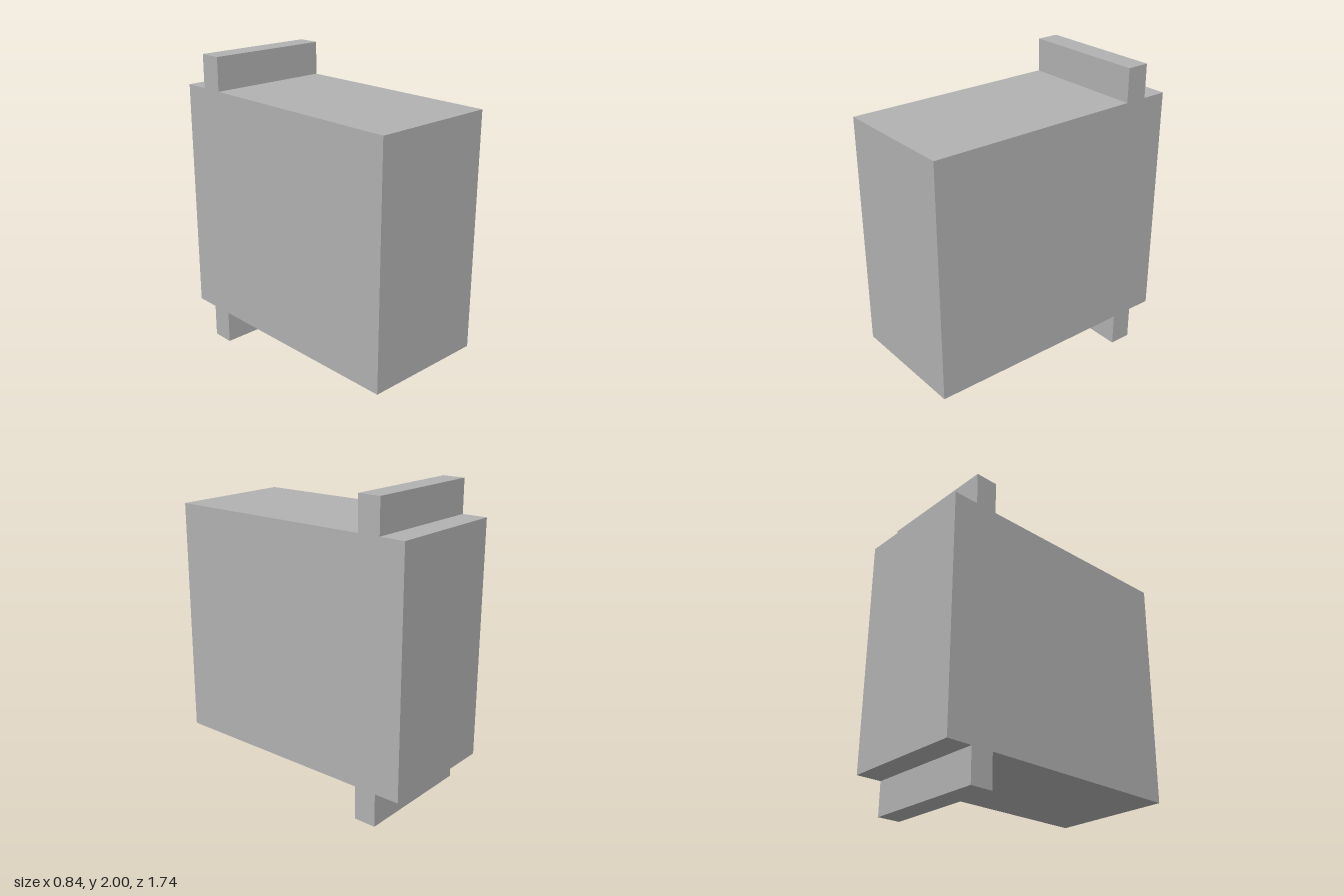
import * as THREE from 'three';

export function createModel() {
  const group = new THREE.Group();
  const grey = new THREE.MeshStandardMaterial({ color: 0xb2b2b2 });
  grey.name = 'light grey';

  const width = 0.84, depth = 0.872; // full width, half depth
  const low = 0.22, high = 1.78;     // bottom and top of the main block
  const ribFront = 0.555, ribBack = 0.705; // distances behind the centre

  // Side profile: block with a mounting rib above and below, near the back
  const profile = new THREE.Shape([
    [-depth, low], [ribFront, low], [ribFront, 0], [ribBack, 0], [ribBack, low], [depth, low],
    [depth, high], [ribBack, high], [ribBack, 2], [ribFront, 2], [ribFront, high], [-depth, high],
  ].map(([x, y]) => new THREE.Vector2(x, y)));

  // Extrude across the width, then turn the profile to run front to back
  const geometry = new THREE.ExtrudeGeometry(profile, { depth: width, bevelEnabled: false });
  geometry.translate(0, 0, -width / 2).rotateY(Math.PI / 2);

  const body = new THREE.Mesh(geometry, grey);
  body.name = 'ribbedBlock';
  group.add(body);
  return group;
}
